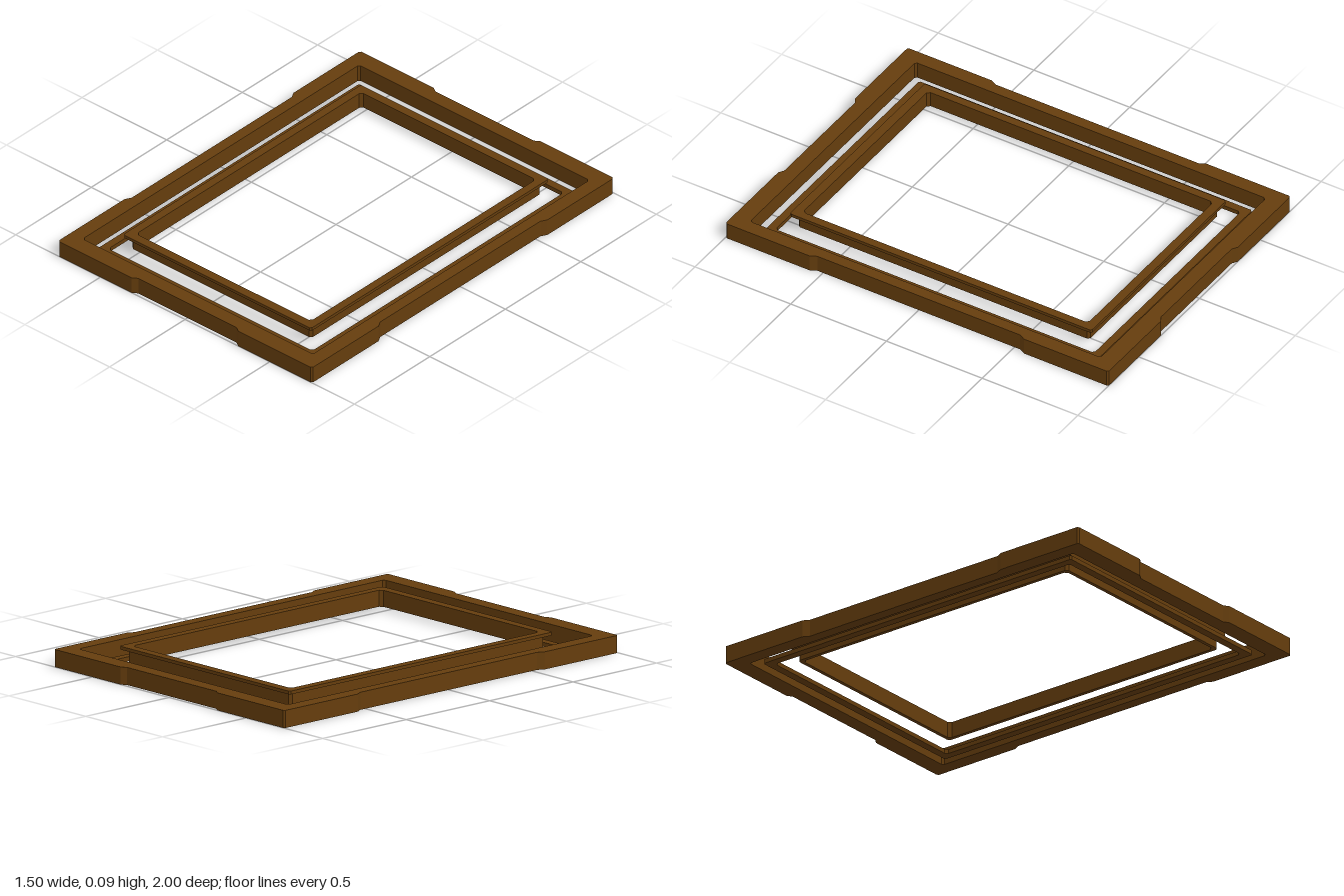
import * as THREE from 'three';

const wood = new THREE.MeshStandardMaterial({ color: 0x653d0d, flatShading: true });

// Rectangle outline with clipped corners
function outline(w, d, c) {
  return [
    [w, -d + c], [w, d - c], [w - c, d], [-w + c, d],
    [-w, d - c], [-w, -d + c], [-w + c, -d], [w - c, -d],
  ].map(([x, y]) => new THREE.Vector2(x, y));
}

// Upright ring between an outer outline and a hole, from y0 to y1
function ring(name, outer, hole, y0, y1) {
  const shape = new THREE.Shape(outer);
  shape.holes.push(new THREE.Path(hole));
  const geo = new THREE.ExtrudeGeometry(shape, { depth: y1 - y0, bevelEnabled: false });
  geo.rotateX(-Math.PI / 2).translate(0, y0, 0);
  const mesh = new THREE.Mesh(geo, wood);
  mesh.name = name;
  return mesh;
}

// Outer outline with a shallow recess in the middle of each side
function recessedOutline() {
  const W = 0.75, D = 1, r = 0.016, c = 0.008;
  const quarter = [
    [W - r, 0.53], [W, 0.56], [W, D - c], [W - c, D], [0.315, D], [0.29, D - r],
  ];
  const back = [...quarter].reverse();
  return [
    ...quarter,
    ...back.map(([x, y]) => [-x, y]),
    ...quarter.map(([x, y]) => [-x, -y]),
    ...back.map(([x, y]) => [x, -y]),
  ].map(([x, y]) => new THREE.Vector2(x, y));
}

export function createModel() {
  const model = new THREE.Group();
  model.name = 'nestedFrames';

  // Main frame with recessed sides
  model.add(ring('outerFrame', recessedOutline(), outline(0.68, 0.915, 0.01), 0, 0.08));

  // Low flat retaining ring
  model.add(ring('middleRing', outline(0.64, 0.87, 0.008), outline(0.602, 0.832, 0.012), 0, 0.02));

  // Inner trim: top flange with a thin wall hanging from its inner edge
  const trim = new THREE.Group();
  trim.name = 'innerTrim';
  const opening = outline(0.515, 0.745, 0.014);
  trim.add(ring('trimFlange', outline(0.555, 0.788, 0.008), opening, 0.08, 0.095));
  trim.add(ring('trimWall', outline(0.532, 0.762, 0.012), opening, 0.02, 0.08));
  model.add(trim);

  return model;
}
